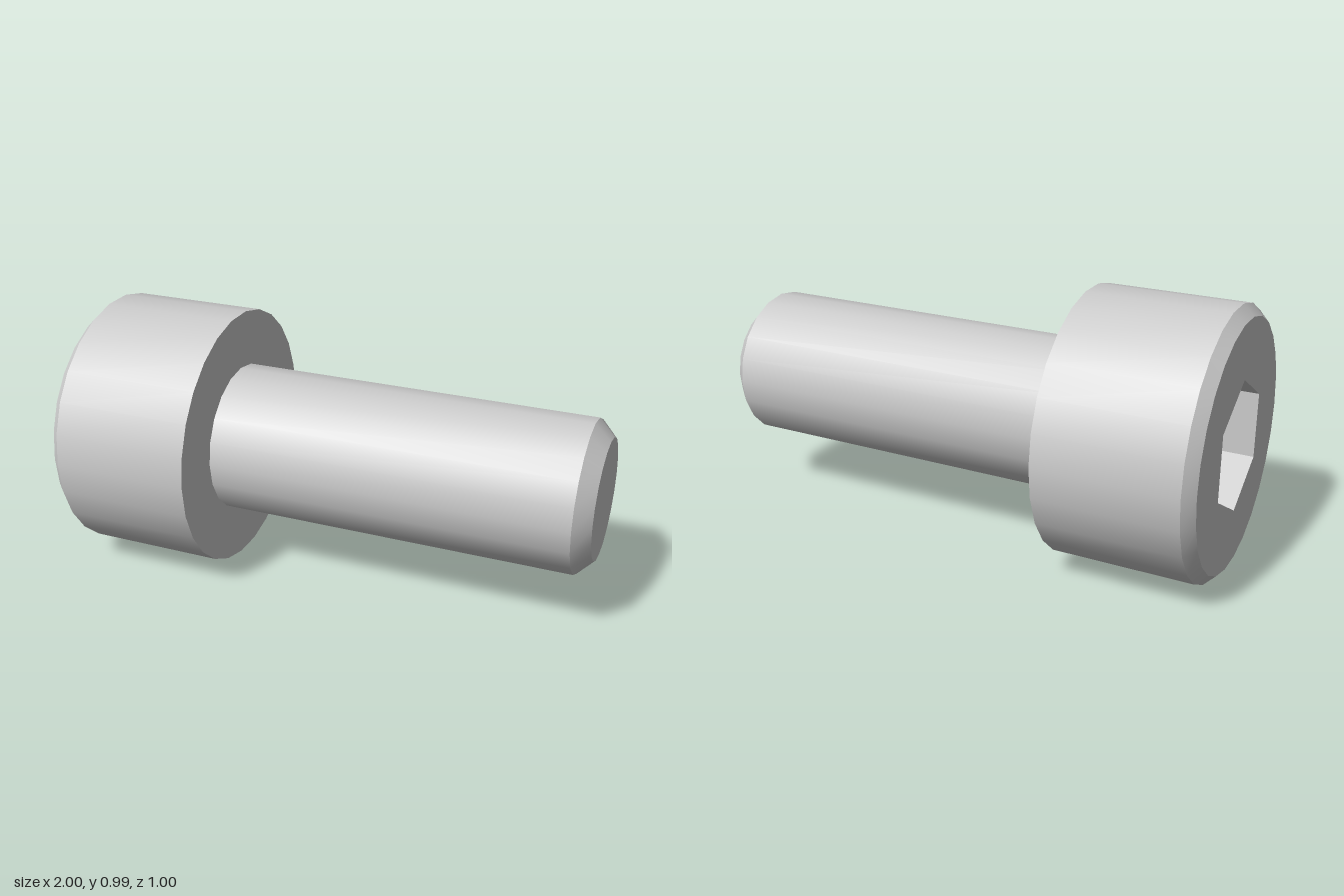
import * as THREE from 'three';
import { toCreasedNormals } from 'three/addons/utils/BufferGeometryUtils.js';

const HEAD_SIDES = 26, SHANK_SIDES = 20;
const HEAD_R = 0.5, FACE_R = 0.46, SHANK_R = 0.286, TIP_R = 0.225, HEX_R = 0.247;
const FACE_X = -1, HEAD_END = -0.43, TIP_X = 1, SOCKET_DEPTH = 0.286;

const material = new THREE.MeshStandardMaterial({ color: 0xcccccc });

function part(name, geometry) {
  const mesh = new THREE.Mesh(geometry, material);
  mesh.name = name;
  return mesh;
}

// Revolve a [radius, x] profile about the x axis, keeping sharp edges
function turned(profile, sides, start = 0) {
  const points = profile.map(([r, x]) => new THREE.Vector2(r, x));
  const geometry = new THREE.LatheGeometry(points, sides, start).rotateZ(-Math.PI / 2);
  return toCreasedNormals(geometry, 0.5);
}

function polygon(radius, sides, start = 0) {
  return Array.from({ length: sides }, (_, i) => {
    const a = start + (i / sides) * Math.PI * 2;
    return new THREE.Vector2(radius * Math.cos(a), radius * Math.sin(a));
  });
}

export function createModel() {
  const bolt = new THREE.Group();
  bolt.name = 'socketHeadBolt';

  // Head: chamfered rim, side wall and underside
  bolt.add(part('head', turned([
    [FACE_R, FACE_X], [HEAD_R, FACE_X + 0.04], [HEAD_R, HEAD_END], [0.2, HEAD_END],
  ], HEAD_SIDES)));

  // End face of the head with a hexagonal opening
  const face = new THREE.Shape(polygon(FACE_R, HEAD_SIDES));
  face.holes.push(new THREE.Path(polygon(HEX_R, 6, Math.PI / 2)));
  bolt.add(part('headFace',
    new THREE.ShapeGeometry(face).rotateY(-Math.PI / 2).translate(FACE_X, 0, 0)));

  // Hex socket: floor and inward-facing walls
  const floorX = FACE_X + SOCKET_DEPTH;
  bolt.add(part('hexSocket', turned([
    [0, floorX], [HEX_R, floorX], [HEX_R, FACE_X],
  ], 6, Math.PI / 2)));

  // Plain shank with a chamfered tip
  bolt.add(part('shank', turned([
    [SHANK_R, HEAD_END], [SHANK_R, TIP_X - 0.06], [TIP_R, TIP_X], [0, TIP_X],
  ], SHANK_SIDES)));

  // Rest the flat bottom facet of the head on the ground
  bolt.position.y = HEAD_R * Math.cos(Math.PI / HEAD_SIDES);
  return bolt;
}
